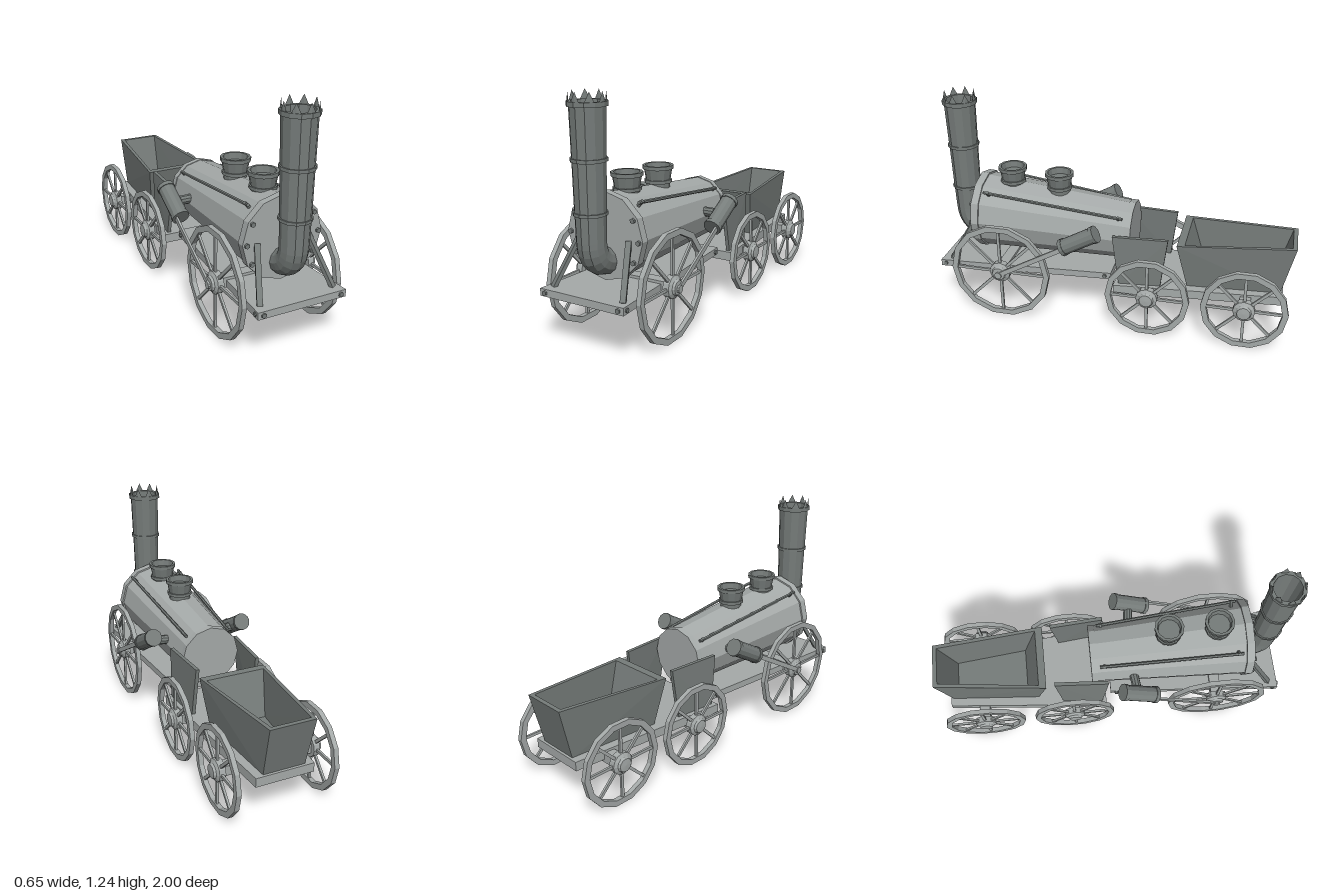
import * as THREE from 'three';
import { ConvexGeometry } from 'three/addons/geometries/ConvexGeometry.js';

const grey = (color, side) => new THREE.MeshStandardMaterial({ color, flatShading: true, side });
const LIGHT = 0xa5aaa9, DARK = 0x767c7a;
const light = grey(LIGHT, THREE.FrontSide), lightOpen = grey(LIGHT, THREE.DoubleSide);
const dark = grey(DARK, THREE.FrontSide), darkOpen = grey(DARK, THREE.DoubleSide);
const V = (x, y, z) => new THREE.Vector3(x, y, z);

export function createModel() {
  const model = new THREE.Group();

  const add = (name, geometry, material, parent = model) => {
    const mesh = new THREE.Mesh(geometry, material);
    mesh.name = name;
    parent.add(mesh);
    return mesh;
  };
  const lathe = (points, sides) =>
    new THREE.LatheGeometry(points.map(([r, y]) => new THREE.Vector2(r, y)), sides);
  // straight bar of rectangular section between two points
  const bar = (name, material, a, b, w, h) => {
    const mesh = add(name, new THREE.BoxGeometry(w, h, a.distanceTo(b)), material);
    mesh.position.copy(a).add(b).multiplyScalar(0.5);
    mesh.lookAt(b);
  };
  // round rod between two points
  const rod = (name, material, a, b, r, sides = 10) => {
    const mesh = add(name, new THREE.CylinderGeometry(r, r, a.distanceTo(b), sides), material);
    mesh.position.copy(a).add(b).multiplyScalar(0.5);
    mesh.quaternion.setFromUnitVectors(V(0, 1, 0), b.clone().sub(a).normalize());
  };
  // flat plate tapering along z
  const plate = (name, y0, y1, zFront, wFront, zBack, wBack) => {
    const points = [];
    for (const s of [-1, 1]) for (const y of [y0, y1])
      points.push(V(s * wFront, y, zFront), V(s * wBack, y, zBack));
    add(name, new ConvexGeometry(points), light);
  };

  // Frames
  plate('engineFrame', 0.265, 0.303, 0.992, 0.245, 0.0, 0.172);
  plate('tenderFrame', 0.225, 0.275, -0.03, 0.245, -0.95, 0.16);
  for (const s of [-1, 1]) {
    rod('frameBolt', dark, V(s * 0.215, 0.284, 0.98), V(s * 0.215, 0.284, 1.0), 0.013, 6);
    rod('frameBolt', dark, V(s * 0.23, 0.284, 0.965), V(s * 0.25, 0.284, 0.965), 0.012, 6);
    rod('frameBolt', dark, V(s * 0.16, 0.284, 0.035), V(s * 0.185, 0.284, 0.035), 0.012, 6);
  }

  // Boiler: tapered barrel whose axis drops towards the back
  const barrel = (name, z0, z1, r0, r1) => {
    const g = new THREE.CylinderGeometry(r1, r0, z1 - z0, 12);
    g.rotateX(Math.PI / 2).translate(0, 0, (z0 + z1) / 2);
    const p = g.attributes.position;
    for (let i = 0; i < p.count; i++) p.setY(i, p.getY(i) + 0.513 + 0.047 * p.getZ(i));
    add(name, g, light);
  };
  barrel('boiler', -0.09, 0.78, 0.163, 0.213);
  barrel('boilerFrontFlange', 0.757, 0.8, 0.221, 0.221);
  barrel('boilerBackFlange', -0.105, -0.07, 0.168, 0.168);
  for (const s of [-1, 1]) {
    for (const [x, y] of [[0.17, 0.65], [0.2, 0.547], [0.17, 0.445]])
      rod('boilerBolt', dark, V(s * x, y, 0.79), V(s * x, y, 0.812), 0.013, 6);
    // handrail on short posts
    rod('handrail', dark, V(s * 0.157, 0.72, 0.735), V(s * 0.125, 0.628, -0.055), 0.009, 6);
    rod('handrailPost', dark, V(s * 0.12, 0.68, 0.71), V(s * 0.162, 0.724, 0.71), 0.01, 6);
    rod('handrailPost', dark, V(s * 0.1, 0.6, -0.03), V(s * 0.13, 0.636, -0.03), 0.01, 6);
    // strut from the frame up to the boiler front
    bar('frontStrut', dark, V(s * 0.205, 0.3, 0.94), V(s * 0.142, 0.545, 0.8), 0.028, 0.02);
  }

  // Domes: open cups with a collar
  for (const [z, y] of [[0.61, 0.83], [0.335, 0.817]]) {
    const cup = add('dome', lathe([
      [0.062, -0.14], [0.062, -0.092], [0.072, -0.092], [0.072, -0.075], [0.064, -0.075],
      [0.074, -0.02], [0.081, -0.02], [0.081, 0], [0.066, 0], [0.06, -0.035], [0, -0.035]], 12), darkOpen);
    cup.position.set(0, y, z);
  }

  // Chimney: elbow out of the boiler, flaring stack, rings and crown
  const bend = new THREE.QuadraticBezierCurve3(V(0, 0.432, 0.78), V(0, 0.432, 0.897), V(0, 0.56, 0.897));
  add('chimneyElbow', new THREE.TubeGeometry(bend, 7, 0.072, 12), darkOpen);
  const stack = add('chimneyStack', lathe([
    [0.072, 0.555], [0.075, 0.68], [0.083, 0.68], [0.083, 0.695], [0.076, 0.695],
    [0.08, 0.93], [0.088, 0.93], [0.088, 0.947], [0.081, 0.947],
    [0.086, 1.18], [0.096, 1.18], [0.096, 1.203], [0.075, 1.203], [0.065, 0.75], [0, 0.75]], 12), darkOpen);
  stack.position.z = 0.897;
  for (let i = 0; i < 8; i++) {
    const a = i * Math.PI / 4;
    const spike = add('crownSpike', new THREE.ConeGeometry(0.024, 0.05, 4), dark);
    spike.scale.z = 0.2;
    spike.rotation.y = a;
    spike.position.set(0.086 * Math.sin(a), 1.224, 0.897 + 0.086 * Math.cos(a));
  }

  // Wheels and axles
  const wheel = (s, y, z, r) => {
    const group = new THREE.Group();
    group.name = 'wheel';
    const t = 0.013;
    add('rim', lathe([[r - 0.032, -t], [r, -t], [r, t], [r - 0.032, t], [r - 0.032, -t]], 14), lightOpen, group);
    for (let i = 0; i < 8; i++) {
      const a = i * Math.PI / 4;
      const spoke = add('spoke', new THREE.BoxGeometry(r - 0.06, 0.012, 0.016), light, group);
      spoke.position.set(Math.cos(a) * r / 2, 0, Math.sin(a) * r / 2);
      spoke.rotation.y = -a;
    }
    add('hub', lathe([[0, -0.02], [0.06, -0.02], [0.06, 0.014], [0.042, 0.024], [0.036, 0.036], [0, 0.038]], 12), lightOpen, group);
    group.position.set(s * 0.267, y, z);
    group.rotation.z = -s * Math.PI / 2;
    model.add(group);
  };
  for (const [z, y, r] of [[0.62, 0.29, 0.289], [-0.225, 0.235, 0.235], [-0.755, 0.235, 0.235]]) {
    bar('axle', light, V(-0.262, y, z), V(0.262, y, z), 0.06, 0.055);
    for (const s of [-1, 1]) wheel(s, y, z, r);
  }

  // Drive cylinders, their mounts and connecting rods
  const at = (x, t) => V(x, 0.285 + 0.265 * t, 0.62 - 0.47 * t);
  for (const s of [-1, 1]) {
    const x = s * 0.275;
    rod('driveCylinder', dark, at(x, 0.82), at(x, 1.18), 0.045, 12);
    rod('cylinderCap', dark, at(x, 0.79), at(x, 0.83), 0.049, 12);
    rod('cylinderCap', dark, at(x, 1.16), at(x, 1.2), 0.049, 12);
    rod('cylinderMount', dark, V(s * 0.14, 0.54, 0.13), V(x, 0.545, 0.145), 0.026);
    bar('connectingRod', light, at(s * 0.304, 0), at(s * 0.3, 0.82), 0.012, 0.026);
    rod('crankPin', light, V(s * 0.28, 0.285, 0.62), V(s * 0.315, 0.285, 0.62), 0.02);
  }

  // Footplate side panels
  for (const s of [-1, 1]) {
    const points = [];
    for (const d of [0, 0.02]) points.push(
      V(s * (0.218 - d), 0.27, -0.055), V(s * (0.195 - d), 0.27, -0.285),
      V(s * (0.205 - d), 0.555, -0.015), V(s * (0.185 - d), 0.555, -0.32));
    add('sidePanel', new ConvexGeometry(points), dark);
  }

  // Tender hopper: corners named front/back, bottom/top, mirrored in x
  const outer = { fb: [0.155, 0.27, -0.43], ft: [0.187, 0.533, -0.368], bb: [0.115, 0.27, -0.935], bt: [0.125, 0.556, -1.0] };
  const inner = { fb: [0.14, 0.29, -0.49], ft: [0.165, 0.533, -0.41], bb: [0.098, 0.29, -0.9], bt: [0.106, 0.556, -0.977] };
  const wall = (name, keys, sides) => {
    const points = [];
    for (const set of [outer, inner]) for (const k of keys) for (const s of sides)
      points.push(V(s * set[k][0], set[k][1], set[k][2]));
    add(name, new ConvexGeometry(points), dark);
  };
  for (const s of [-1, 1]) wall('hopperSide', ['fb', 'ft', 'bb', 'bt'], [s]);
  wall('hopperFront', ['fb', 'ft'], [-1, 1]);
  wall('hopperBack', ['bb', 'bt'], [-1, 1]);
  wall('hopperFloor', ['fb', 'bb'], [-1, 1]);

  return model;
}
